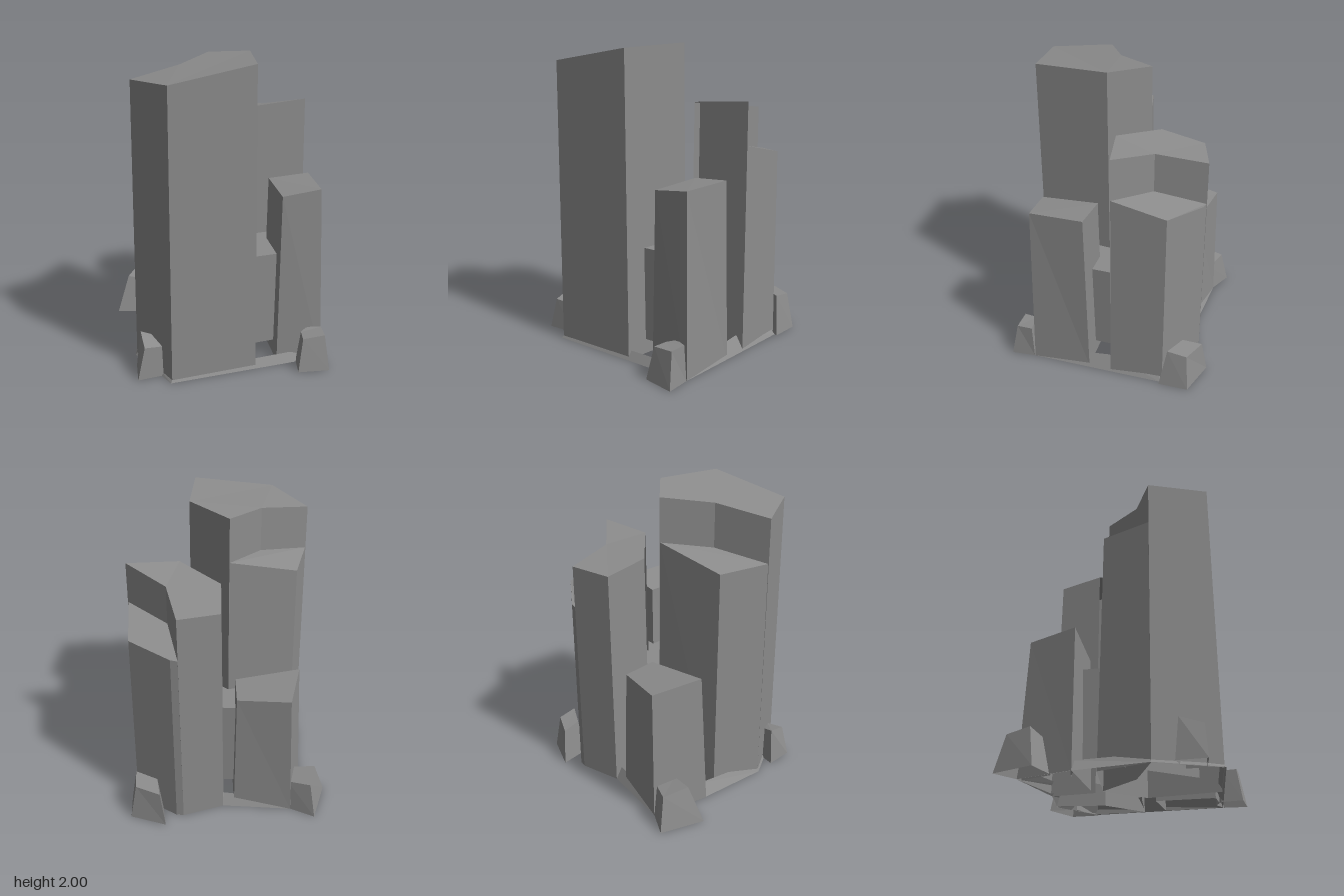
import * as THREE from 'three';

const stone = new THREE.MeshStandardMaterial({ color: 0x8c8c8c, side: THREE.DoubleSide, flatShading: true });
stone.name = 'grey stone';

// Open-bottomed prism. top: [x, y, z] corners clockwise seen from above,
// base: matching [x, y, z] corners, skip: index of a wall to leave open.
function prism(name, base, top, { skip = -1, cap = true } = {}) {
  const pos = [];
  const n = top.length;
  for (let i = 0; i < n; i++) {
    if (i === skip) continue;
    const j = (i + 1) % n;
    pos.push(...base[i], ...top[i], ...top[j], ...base[i], ...top[j], ...base[j]);
  }
  if (cap) {
    const flat = top.map(([x, , z]) => new THREE.Vector2(x, z));
    for (const [a, b, c] of THREE.ShapeUtils.triangulateShape(flat, [])) {
      const turn = flat[b].clone().sub(flat[a]).cross(flat[c].clone().sub(flat[a]));
      for (const k of turn < 0 ? [a, b, c] : [a, c, b]) pos.push(...top[k]);
    }
  }
  const geo = new THREE.BufferGeometry();
  geo.setAttribute('position', new THREE.Float32BufferAttribute(pos, 3));
  geo.computeVertexNormals();
  const mesh = new THREE.Mesh(geo, stone);
  mesh.name = name;
  return mesh;
}

// Column that widens slightly towards the ground about the centre [cx, cz]
function column(name, top, [cx, cz], flare, options) {
  const base = top.map(([x, , z]) => [cx + (x - cx) * flare, 0, cz + (z - cz) * flare]);
  return prism(name, base, top, options);
}

const ground = (pts, y = 0) => pts.map(([x, z]) => [x, y, z]);

export function createModel() {
  const model = new THREE.Group();
  model.name = 'basaltColumns';

  // Tallest column with a lower step broken out of its back left
  const tallCentre = [-0.2, 0.22];
  model.add(column('tallColumn', [
    [-0.03, 1.97, -0.15], [0.195, 2, 0.08], [0.125, 1.985, 0.545],
    [-0.41, 1.89, 0.605], [-0.585, 1.87, 0.24], [-0.26, 1.93, 0.1],
  ], tallCentre, 1.05));
  model.add(column('tallColumnStep', [
    [-0.03, 1.68, -0.15], [-0.26, 1.64, 0.1], [-0.585, 1.58, 0.24], [-0.47, 1.57, -0.08],
  ], tallCentre, 1.05));

  // Middle column, open on the side facing the cluster, with its own step
  const midCentre = [0.33, -0.28];
  model.add(column('middleColumn', [
    [0.06, 1.53, -0.51], [0.325, 1.54, -0.57], [0.37, 1.59, -0.25],
    [0.61, 1.655, -0.035], [0.27, 1.63, 0.01], [0.03, 1.58, -0.23],
  ], midCentre, 1.05, { skip: 4 }));
  model.add(column('middleColumnStep', [
    [0.325, 1.255, -0.57], [0.37, 1.26, -0.56], [0.615, 1.295, -0.375],
    [0.61, 1.38, -0.035], [0.37, 1.33, -0.25],
  ], midCentre, 1.05));

  // Two short four-sided columns
  model.add(prism('frontShortColumn',
    ground([[0.31, 0.11], [0.61, 0.13], [0.6, 0.525], [0.3, 0.505]]),
    [[0.325, 1.16, 0.12], [0.59, 1.19, 0.147], [0.565, 1.185, 0.495], [0.315, 1.15, 0.49]]));
  model.add(prism('backShortColumn',
    ground([[-0.41, -0.6], [-0.03, -0.505], [-0.05, -0.24], [-0.535, -0.23]]),
    [[-0.38, 0.9, -0.575], [-0.045, 0.87, -0.48], [-0.06, 0.88, -0.26], [-0.49, 0.925, -0.25]]));

  // Low core filling the gaps between the columns
  const core = [[-0.055, -0.375], [0.05, -0.36], [0.47, 0], [0.46, 0.14],
    [0.32, 0.4], [0.155, 0.42], [-0.27, -0.1], [-0.27, -0.26]];
  model.add(prism('core', ground(core, 0.1), ground(core, 0.73)));

  // Narrow sloping rim around the foot
  model.add(prism('footRim',
    ground([[-0.41, -0.6], [0.05, -0.52], [0.36, -0.58], [0.65, -0.37], [0.63, 0],
      [0.6, 0.525], [-0.43, 0.635], [-0.615, 0.24], [-0.53, -0.23]]),
    [[-0.37, 0.06, -0.56], [0.04, 0.08, -0.475], [0.33, 0.06, -0.56], [0.61, 0.06, -0.36], [0.575, 0.1, 0],
      [0.57, 0.06, 0.49], [-0.4, 0.05, 0.6], [-0.575, 0.06, 0.24], [-0.46, 0.08, -0.25]],
    { cap: false }));

  // Loose stones at the corners
  model.add(prism('backLeftStone',
    ground([[-0.56, -0.69], [-0.38, -0.58], [-0.46, -0.37], [-0.68, -0.415]]),
    [[-0.53, 0.24, -0.635], [-0.39, 0.22, -0.56], [-0.43, 0.23, -0.43], [-0.59, 0.26, -0.47]]));
  model.add(prism('backRightStone',
    ground([[0.45, -0.66], [0.68, -0.56], [0.67, -0.365], [0.46, -0.47]]),
    [[0.48, 0.24, -0.62], [0.635, 0.25, -0.54], [0.63, 0.27, -0.41], [0.49, 0.26, -0.49]]));
  model.add(prism('frontRightStone',
    ground([[0.425, 0.53], [0.51, 0.49], [0.6, 0.53], [0.605, 0.69], [0.4, 0.675]]),
    [[0.45, 0.22, 0.545], [0.505, 0.235, 0.505], [0.59, 0.24, 0.54], [0.58, 0.235, 0.645], [0.435, 0.22, 0.64]]));
  model.add(prism('frontLeftStone',
    ground([[-0.62, 0.375], [-0.44, 0.41], [-0.44, 0.53], [-0.63, 0.56]]),
    [[-0.59, 0.26, 0.395], [-0.46, 0.22, 0.42], [-0.46, 0.205, 0.52], [-0.58, 0.215, 0.54]]));

  return model;
}
